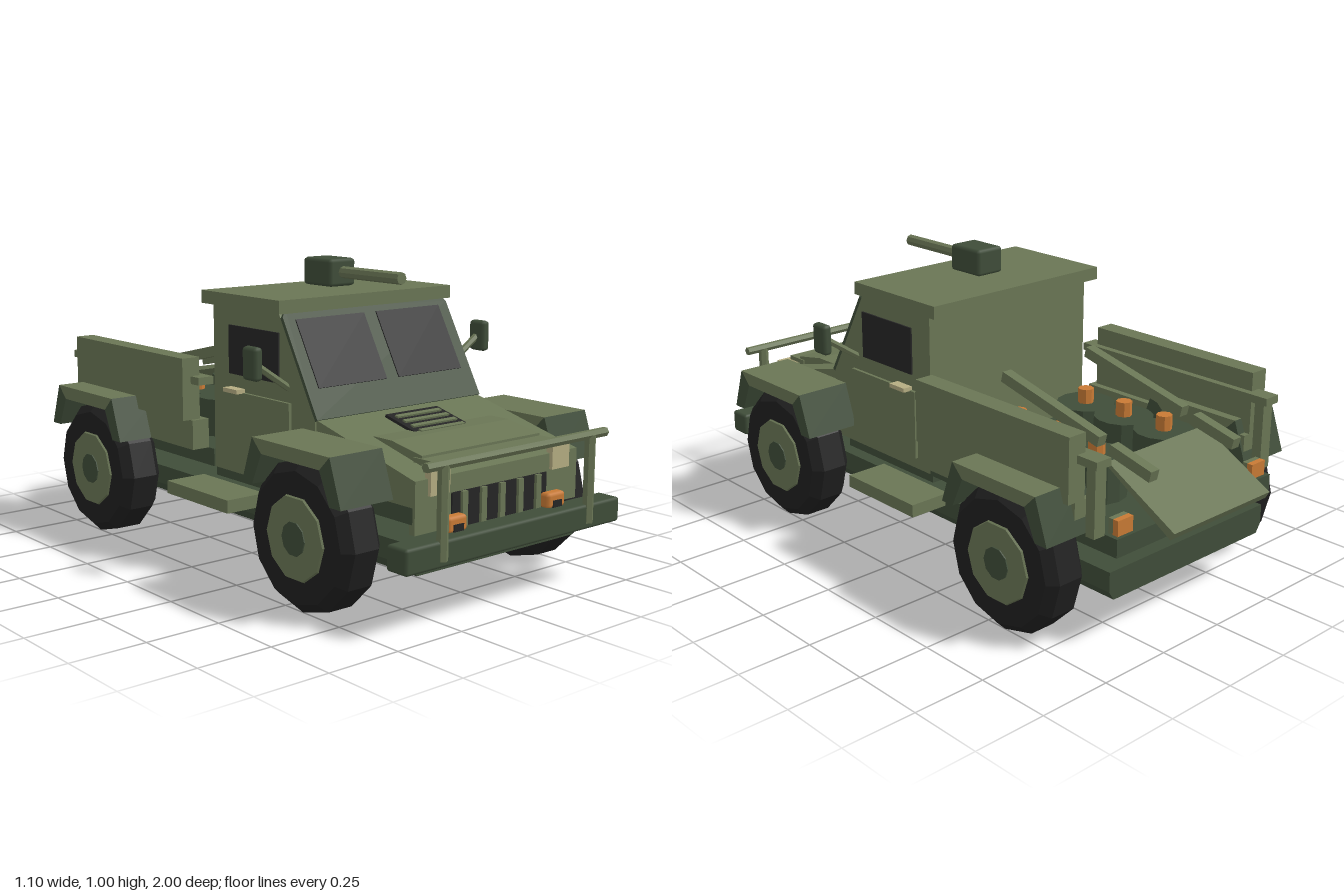
import * as THREE from 'three';
import { RoundedBoxGeometry } from 'three/addons/geometries/RoundedBoxGeometry.js';

const mat = (name, color) => {
  const m = new THREE.MeshStandardMaterial({ color });
  m.name = name;
  return m;
};

export function createModel() {
  const green = mat('olive paint', 0x6a7655);
  const dark = mat('dark green paint', 0x3f4d39);
  const rubber = mat('tyre rubber', 0x202020);
  const glass = mat('dark glass', 0x252525);
  const orange = mat('orange', 0xc87a35);
  const cream = mat('cream lamp', 0xb5ad82);
  const model = new THREE.Group();
  model.name = 'truck';

  const add = (name, geo, m, x = 0, y = 0, z = 0, rx = 0, ry = 0, rz = 0) => {
    const mesh = new THREE.Mesh(geo, m);
    mesh.name = name;
    mesh.position.set(x, y, z);
    mesh.rotation.set(rx, ry, rz);
    model.add(mesh);
    return mesh;
  };
  // box given by its limits on each axis
  const box = (name, m, x0, x1, y0, y1, z0, z1, r = 0) => {
    const s = [Math.abs(x1 - x0), y1 - y0, z1 - z0];
    const geo = r ? new RoundedBoxGeometry(...s, 1, r) : new THREE.BoxGeometry(...s);
    return add(name, geo, m, (x0 + x1) / 2, (y0 + y1) / 2, (z0 + z1) / 2);
  };
  // side profile of [z, y] points, extruded across x
  const profile = (name, m, pts, width, x = 0) => {
    const shape = new THREE.Shape(pts.map(p => new THREE.Vector2(p[0], p[1])));
    const geo = new THREE.ExtrudeGeometry(shape, { depth: width, bevelEnabled: false });
    geo.rotateY(-Math.PI / 2).translate(width / 2, 0, 0);
    return add(name, geo, m, x);
  };
  const flat = geo => {
    const g = geo.toNonIndexed();
    g.computeVertexNormals();
    return g;
  };
  // straight faceted rod between two points
  const rod = (name, m, a, b, r, sides = 6) => {
    const p = new THREE.Vector3(...a), q = new THREE.Vector3(...b);
    const mesh = add(name, flat(new THREE.CylinderGeometry(r, r, p.distanceTo(q), sides)), m);
    mesh.position.copy(p).add(q).multiplyScalar(0.5);
    mesh.quaternion.setFromUnitVectors(new THREE.Vector3(0, 1, 0), q.sub(p).normalize());
    return mesh;
  };

  // chassis and decks
  box('chassis', dark, -0.36, 0.36, 0.19, 0.255, -0.875, 0.905);
  const keel = new THREE.Shape([[-0.34, 0.16], [0.34, 0.16], [0.36, 0.19], [-0.36, 0.19]].map(p => new THREE.Vector2(...p)));
  add('chassisBottom', new THREE.ExtrudeGeometry(keel, { depth: 1.78, bevelEnabled: false }), dark, 0, 0, -0.875);
  box('bedFloor', dark, -0.36, 0.36, 0.31, 0.37, -0.9, -0.06);
  box('noseFloor', dark, -0.35, 0.35, 0.31, 0.36, 0.4, 0.893);
  box('cabSill', dark, -0.35, 0.35, 0.28, 0.31, -0.06, 0.4);

  // cab, sloping windscreen and roof
  profile('cab', green, [[-0.06, 0.31], [0.47, 0.31], [0.465, 0.545], [0.285, 0.865], [-0.06, 0.865]], 0.71);
  box('roof', green, -0.372, 0.372, 0.86, 0.903, -0.105, 0.31);
  const slope = -Math.atan2(0.18, 0.32);
  const screenShape = new THREE.Shape([[-0.355, -0.184], [0.355, -0.184], [0.355, 0.16], [0.335, 0.184], [-0.335, 0.184], [-0.355, 0.16]]
    .map(p => new THREE.Vector2(...p)));
  add('windscreenFrame', new THREE.ExtrudeGeometry(screenShape, { depth: 0.012, bevelEnabled: false }), dark, 0, 0.705, 0.375, slope);
  for (const s of [-1, 1])
    add('windscreenPane', new THREE.BoxGeometry(0.284, 0.232, 0.008), glass, s * 0.168, 0.738, 0.37, slope);

  // bonnet with raised panel and slatted vent
  profile('bonnet', green, [[0.44, 0.36], [0.9, 0.36], [0.9, 0.44], [0.47, 0.548], [0.44, 0.548]], 0.7);
  profile('bonnetPanel', green, [[0.62, 0.5], [0.83, 0.45], [0.83, 0.488], [0.7, 0.512], [0.62, 0.512]], 0.51);
  const vent = new THREE.Group();
  vent.name = 'bonnetVent';
  vent.position.set(0, 0.512, 0.618);
  vent.rotation.x = Math.atan2(0.108, 0.43);
  model.add(vent);
  const ventPlate = add('ventPlate', new THREE.BoxGeometry(0.225, 0.016, 0.21), glass);
  vent.add(ventPlate);
  for (let i = -2; i <= 2; i++)
    vent.add(add('ventSlat', new THREE.BoxGeometry(0.19, 0.012, 0.015), green, 0, 0.008, i * 0.037));

  // front panel, grille and lamps
  box('frontPanel', green, -0.35, 0.35, 0.28, 0.44, 0.88, 0.903);
  box('panelLip', green, -0.26, 0.26, 0.465, 0.48, 0.8, 0.885);
  box('grille', glass, -0.205, 0.205, 0.27, 0.385, 0.9, 0.908);
  for (let i = -2; i <= 2; i++)
    box('grilleBar', green, i * 0.08 - 0.011, i * 0.08 + 0.011, 0.27, 0.385, 0.905, 0.918);
  box('bumper', dark, -0.463, 0.463, 0.2, 0.28, 0.905, 0.99, 0.01);
  rod('guardBar', green, [-0.388, 0.5, 0.982], [0.388, 0.5, 0.982], 0.015);

  // one rear or front mudguard: light top with dark sloping flaps
  const mudguard = (s, z) => {
    const x = s * 0.452, w = 0.2;
    const at = pts => pts.map(p => [z + p[0], p[1]]);
    profile('mudguardTop', green, at([[-0.18, 0.515], [-0.135, 0.47], [0.135, 0.47], [0.18, 0.515]]), w, x);
    profile('mudguardFlap', dark, at([[0.18, 0.515], [0.135, 0.47], [0.18, 0.37], [0.23, 0.37]]), w, x);
    profile('mudguardFlap', dark, at([[-0.18, 0.515], [-0.23, 0.37], [-0.18, 0.37], [-0.135, 0.47]]), w, x);
  };
  // chamfered tyre, light hub disc and dark cap
  const tyre = flat(new THREE.LatheGeometry([[0, -0.075], [0.205, -0.075], [0.235, -0.045], [0.235, 0.045], [0.205, 0.075], [0, 0.075]]
    .map(p => new THREE.Vector2(...p)), 12));
  const wheel = (s, z) => {
    const turn = -s * Math.PI / 2;
    add('tyre', tyre, rubber, s * 0.455, 0.235, z, 0, 0, turn);
    add('hub', flat(new THREE.CylinderGeometry(0.13, 0.135, 0.008, 10)), green, s * 0.532, 0.235, z, 0, 0, turn);
    add('hubCap', flat(new THREE.CylinderGeometry(0.053, 0.053, 0.008, 10)), dark, s * 0.536, 0.235, z, 0, 0, turn);
  };

  for (const s of [-1, 1]) {
    for (const z of [0.585, -0.575]) {
      mudguard(s, z);
      wheel(s, z);
    }
    // lamps and guard posts
    box('headlight', cream, s * 0.222, s * 0.3, 0.39, 0.462, 0.89, 0.915);
    box('fogLamp', orange, s * 0.175, s * 0.255, 0.275, 0.326, 0.905, 0.945, 0.012);
    box('fogLampLens', glass, s * 0.195, s * 0.235, 0.275, 0.302, 0.94, 0.948);
    rod('guardPost', green, [s * 0.317, 0.22, 0.982], [s * 0.317, 0.5, 0.982], 0.018);

    // door, window, handle, step and mirror
    box('door', green, s * 0.35, s * 0.366, 0.35, 0.585, 0.01, 0.35);
    box('sideWindow', glass, s * 0.353, s * 0.361, 0.64, 0.8, 0.03, 0.29);
    box('doorHandle', cream, s * 0.355, s * 0.39, 0.583, 0.597, 0.035, 0.11);
    box('step', green, s * 0.35, s * 0.5, 0.225, 0.268, -0.135, 0.205);
    rod('mirrorArm', green, [s * 0.35, 0.63, 0.33], [s * 0.485, 0.72, 0.33], 0.012);
    box('mirror', dark, s * 0.478, s * 0.511, 0.67, 0.775, 0.3, 0.37, 0.012);

    // bed walls with rails and corner posts
    box('bedWall', green, s * 0.385, s * 0.453, 0.47, 0.68, -0.79, -0.105);
    box('bedWallLower', green, s * 0.36, s * 0.425, 0.37, 0.47, -0.79, -0.09);
    box('bedRail', green, s * 0.36, s * 0.42, 0.592, 0.618, -0.868, -0.06);
    box('bedPost', green, s * 0.365, s * 0.41, 0.37, 0.592, -0.855, -0.82);
    box('tailLight', orange, s * 0.28, s * 0.345, 0.367, 0.42, -0.888, -0.868);
    box('tailLightMount', green, s * 0.28, s * 0.345, 0.367, 0.42, -0.868, -0.85);

    // sloping launch rails
    const tilt = -Math.atan2(0.15, 0.635);
    add('launchRail', new THREE.BoxGeometry(0.036, 0.036, 0.44), green, s * 0.192, 0.618, -0.46, tilt);
    add('launchRailEnd', new THREE.BoxGeometry(0.036, 0.036, 0.17), green, s * 0.192, 0.537, -0.803, tilt);

    // stowed drums with orange knobs
    for (const z of [-0.27, -0.445, -0.62]) {
      add('drum', flat(new THREE.CylinderGeometry(0.1, 0.1, 0.13, 14)), dark, s * 0.157, 0.435, z);
      add('drumKnob', flat(new THREE.CylinderGeometry(0.027, 0.027, 0.05, 8)), orange, s * 0.157, 0.525, z);
    }
  }

  // loading ramp
  profile('ramp', green, [[-0.73, 0.51], [-0.985, 0.38 - 0.025], [-1, 0.38], [-0.73, 0.525]].reverse(), 0.45);

  // roof gun
  box('gunBody', dark, -0.055, 0.055, 0.913, 1.005, 0.038, 0.182, 0.012);
  rod('gunBarrel', green, [0, 0.96, 0.17], [0, 0.96, 0.465], 0.02, 8);

  return model;
}
